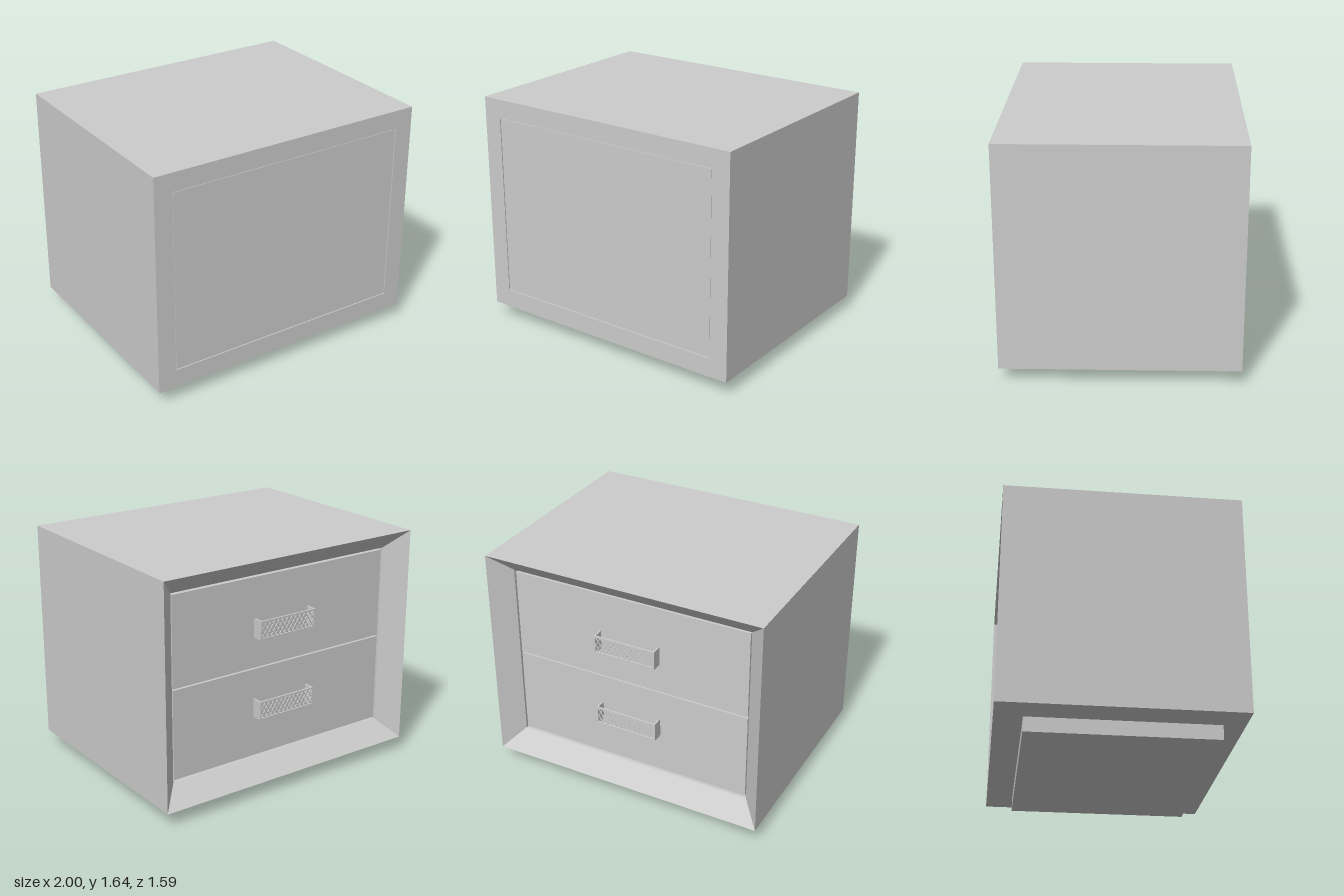
import * as THREE from 'three';

const grey = new THREE.MeshStandardMaterial({ color: 0xcccccc });
const MID_Y = 0.87, IN_X = 0.87, IN_Y = 0.64; // centre height and half size of the opening

function mesh(name, geometry, parent) {
  const m = new THREE.Mesh(geometry, grey);
  m.name = name;
  parent.add(m);
  return m;
}

// box given by its limits on each axis
function box(name, [x0, x1], [y0, y1], [z0, z1], parent) {
  const m = mesh(name, new THREE.BoxGeometry(x1 - x0, y1 - y0, z1 - z0), parent);
  m.position.set((x0 + x1) / 2, (y0 + y1) / 2, (z0 + z1) / 2);
  return m;
}

// rectangular sleeve: rings of [half width, half height, z] joined in a closed loop
function sleeve(rings) {
  const corners = [[1, 1], [-1, 1], [-1, -1], [1, -1]];
  const pos = [];
  rings.forEach((r, i) => {
    const s = rings[(i + 1) % rings.length];
    for (let k = 0; k < 4; k++) {
      const at = ([w, h, z], n) => [corners[n % 4][0] * w, corners[n % 4][1] * h, z];
      const a = at(r, k), b = at(r, k + 1), c = at(s, k + 1), d = at(s, k);
      pos.push(...a, ...d, ...c, ...a, ...c, ...b);
    }
  });
  const g = new THREE.BufferGeometry();
  g.setAttribute('position', new THREE.Float32BufferAttribute(pos, 3));
  g.computeVertexNormals();
  return g;
}

// lattice pull held off the drawer by two end brackets
function handle() {
  const g = new THREE.Group();
  g.name = 'handle';
  const W = 0.225, H = 0.065, T = 0.012, depth = 0.075, rim = 0.012;

  const frame = mesh('handleFrame', sleeve([
    [W, H, T / 2], [W, H, -T / 2], [W - rim, H - rim, -T / 2], [W - rim, H - rim, T / 2],
  ]), g);
  frame.position.z = -depth + T / 2;

  for (const s of [-1, 1]) {
    const bracket = mesh('handleBracket', new THREE.BoxGeometry(T, 2 * H, depth - T), g);
    bracket.position.set(s * (W - T / 2), 0, (T - depth) / 2);
  }

  // crossing bars: large crosses with small diamonds between them
  const bar = (x0, y0, x1, y1) => {
    const m = mesh('latticeBar', new THREE.BoxGeometry(Math.hypot(x1 - x0, y1 - y0), 0.005, 0.006), g);
    m.position.set((x0 + x1) / 2, (y0 + y1) / 2, -depth + T / 2);
    m.rotation.z = Math.atan2(y1 - y0, x1 - x0);
  };
  const n = 6, w = W - rim, h = H - rim, step = 2 * w / n;
  for (let i = 0; i < n; i++) {
    const x0 = -w + i * step, x1 = x0 + step, xm = x0 + step / 2;
    for (const s of [-1, 1]) {
      bar(x0, -s * h, x1, s * h);
      bar(x0, 0, xm, s * h);
      bar(xm, s * h, x1, 0);
    }
  }
  return g;
}

export function createModel() {
  const model = new THREE.Group();
  model.name = 'bedsideCabinet';

  // carcass with a mitred bevel around the drawer opening
  mesh('carcass', sleeve([
    [1, 0.77, 0.795], [1, 0.77, -0.795], [IN_X, IN_Y, -0.665], [IN_X, IN_Y, 0.795],
  ]), model).position.y = MID_Y;

  // panel closing the side opposite the drawers
  box('backPanel', [-IN_X + 0.004, IN_X - 0.004], [MID_Y - IN_Y + 0.004, MID_Y + IN_Y - 0.004], [0.74, 0.792], model);

  // recessed base
  box('plinth', [-0.785, 0.775], [0, 0.1], [-0.61, 0.65], model);

  // two drawers with handles
  for (const s of [-1, 1]) {
    const drawer = new THREE.Group();
    drawer.name = s > 0 ? 'upperDrawer' : 'lowerDrawer';
    const ys = [MID_Y + s * 0.005, MID_Y + s * (IN_Y - 0.015)].sort((a, b) => a - b);
    box('drawerFront', [-IN_X + 0.01, IN_X - 0.01], ys, [-0.66, -0.6], drawer);
    const pull = handle();
    pull.position.set(0, MID_Y + s * 0.28, -0.66);
    drawer.add(pull);
    model.add(drawer);
  }
  return model;
}
